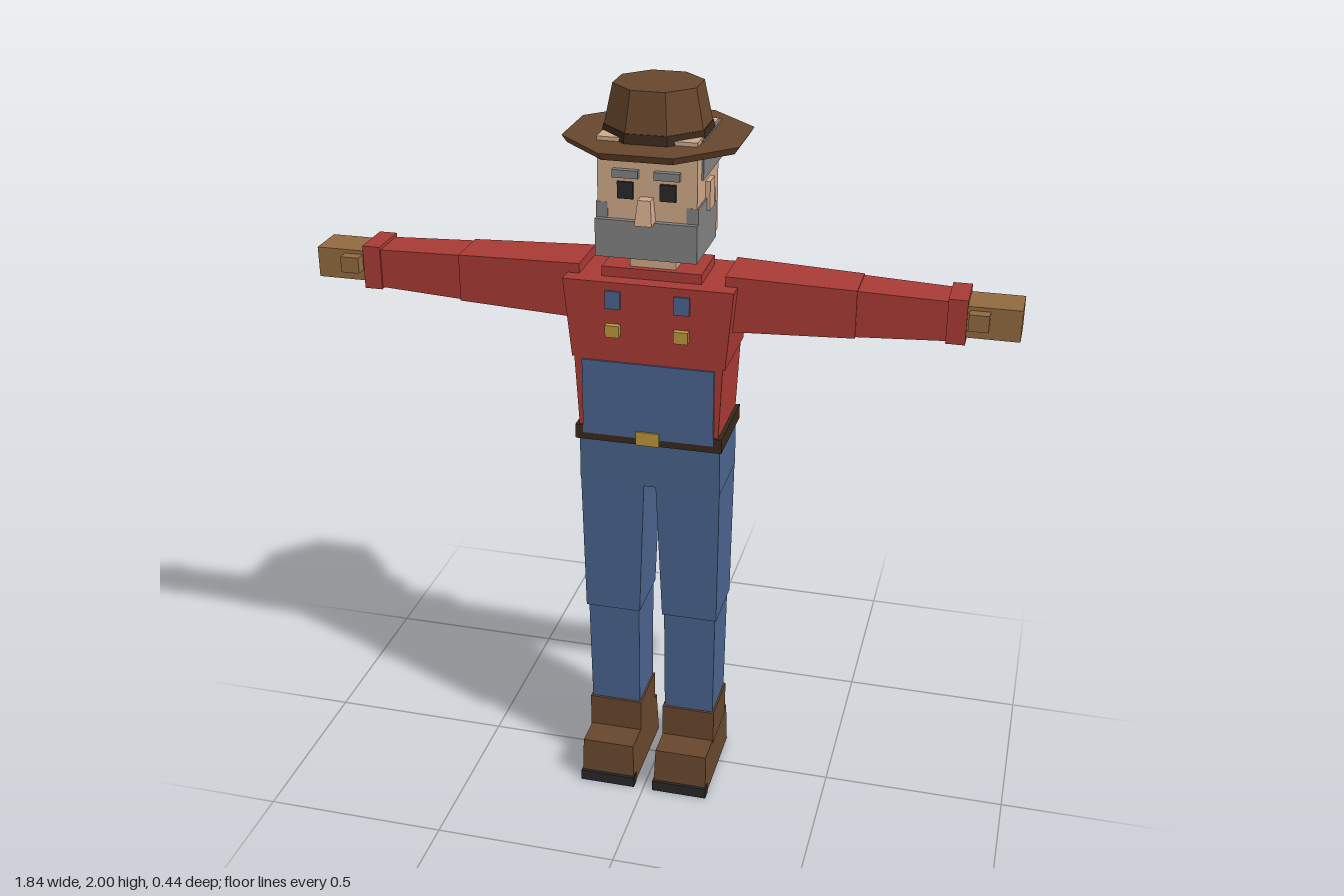
import * as THREE from 'three';

const mat = (name, color) => {
  const m = new THREE.MeshStandardMaterial({ color });
  m.name = name;
  return m;
};

export function createModel() {
  const red = mat('red shirt', 0xa83a34);
  const blue = mat('blue denim', 0x4a638c);
  const brown = mat('brown leather', 0x67462c);
  const darkBrown = mat('dark brown belt', 0x38281b);
  const skin = mat('skin', 0xcfa787);
  const grey = mat('grey hair', 0x808080);
  const black = mat('black', 0x27272a);
  const gold = mat('gold', 0xb9963a);
  const glove = mat('tan glove', 0x91693f);

  const model = new THREE.Group();
  const add = (name, geometry, material) => {
    const mesh = new THREE.Mesh(geometry, material);
    mesh.name = name;
    model.add(mesh);
    return mesh;
  };

  // Box from y0 to y1 whose ends are rectangles [x0, x1, z0, z1]
  const column = (name, material, y0, y1, low, high = low) => {
    const g = new THREE.BoxGeometry(1, 1, 1);
    const p = g.attributes.position;
    for (let i = 0; i < p.count; i++) {
      const top = p.getY(i) > 0;
      const r = top ? high : low;
      p.setXYZ(i, p.getX(i) > 0 ? r[1] : r[0], top ? y1 : y0, p.getZ(i) > 0 ? r[3] : r[2]);
    }
    g.computeVertexNormals();
    return add(name, g, material);
  };
  // The same rectangle, mirrored to the other side when s is -1
  const side = (s, r) => (s > 0 ? r : [-r[1], -r[0], r[2], r[3]]);

  // Box from x0 to x1 whose ends are rectangles [y0, y1, z0, z1]
  const limb = (name, material, s, x0, x1, inner, outer = inner) => {
    const g = new THREE.BoxGeometry(1, 1, 1);
    const p = g.attributes.position;
    for (let i = 0; i < p.count; i++) {
      const far = p.getX(i) * s > 0;
      const r = far ? outer : inner;
      p.setXYZ(i, s * (far ? x1 : x0), p.getY(i) > 0 ? r[1] : r[0], p.getZ(i) > 0 ? r[3] : r[2]);
    }
    g.computeVertexNormals();
    return add(name, g, material);
  };

  // Faceted octagonal ring with flats facing the axes; radii measured to the flats
  const octagon = (name, material, y0, y1, rLow, rHigh) => {
    const k = 1 / Math.cos(Math.PI / 8);
    let g = new THREE.CylinderGeometry(rHigh * k, rLow * k, y1 - y0, 8);
    g.rotateY(Math.PI / 8);
    g.translate(0, (y0 + y1) / 2, 0);
    g = g.toNonIndexed();
    g.computeVertexNormals();
    return add(name, g, material);
  };

  // Hat
  octagon('hatBrim', brown, 1.857, 1.876, 0.21, 0.222);
  octagon('hatBand', darkBrown, 1.876, 1.9, 0.131, 0.127);
  octagon('hatCrown', brown, 1.9, 2.0, 0.125, 0.105);

  // Head and face
  column('head', skin, 1.595, 1.886, [-0.126, 0.126, -0.117, 0.115]);
  column('hair', grey, 1.78, 1.881, [-0.131, 0.131, -0.131, 0.07]);
  column('beard', grey, 1.585, 1.682, [-0.13, 0.13, -0.085, 0.13]);
  column('nose', skin, 1.68, 1.742, [-0.022, 0.022, 0.1, 0.157], [-0.016, 0.016, 0.1, 0.145]);
  for (const s of [1, -1]) {
    column('sideburn', grey, 1.68, 1.722, side(s, [0.1, 0.13, -0.07, 0.116]));
    column('ear', skin, 1.69, 1.765, side(s, [0.12, 0.138, -0.026, 0.026]));
    column('eye', black, 1.736, 1.778, side(s, [0.034, 0.074, 0.115, 0.123]));
    column('eyebrow', grey, 1.79, 1.81, side(s, [0.02, 0.085, 0.11, 0.13]));
  }
  column('neck', skin, 1.52, 1.6, [-0.06, 0.06, -0.055, 0.058]);

  // Torso
  column('collar', red, 1.5, 1.538, [-0.13, 0.13, -0.075, 0.075]);
  column('chest', red, 1.3, 1.512, [-0.202, 0.202, -0.113, 0.113], [-0.222, 0.222, -0.115, 0.117]);
  column('waist', red, 1.09, 1.3, [-0.186, 0.186, -0.105, 0.109], [-0.196, 0.196, -0.112, 0.113]);
  column('bib', blue, 1.085, 1.295, [-0.175, 0.175, 0.1, 0.118]);
  column('belt', darkBrown, 1.065, 1.105, [-0.197, 0.197, -0.113, 0.115]);
  column('buckle', gold, 1.067, 1.105, [-0.031, 0.031, 0.115, 0.123]);
  column('hips', blue, 0.935, 1.067, [-0.191, 0.191, -0.095, 0.098], [-0.189, 0.189, -0.103, 0.103]);

  for (const s of [1, -1]) {
    // Strap ends, front and back, and buttons
    column('frontStrap', blue, 1.442, 1.49, side(s, [0.07, 0.11, 0.114, 0.122]));
    column('backStrap', blue, 1.442, 1.49, side(s, [0.07, 0.11, -0.122, -0.113]));
    column('button', gold, 1.368, 1.4, side(s, [0.071, 0.108, 0.112, 0.131]));

    // Arm
    limb('upperSleeve', red, s, 0.19, 0.52, [1.39, 1.538, -0.075, 0.073], [1.402, 1.528, -0.064, 0.064]);
    limb('lowerSleeve', red, s, 0.51, 0.75, [1.404, 1.526, -0.06, 0.06], [1.415, 1.518, -0.053, 0.053]);
    limb('cuff', red, s, 0.742, 0.79, [1.41, 1.527, -0.061, 0.059]);
    limb('hand', glove, s, 0.78, 0.922, [1.428, 1.51, -0.054, 0.051]);
    limb('thumb', glove, s, 0.795, 0.845, [1.457, 1.5, 0.045, 0.081]);

    // Leg
    column('thigh', blue, 0.535, 0.94, side(s, [0.032, 0.185, -0.086, 0.088]), side(s, [0.016, 0.19, -0.094, 0.097]));
    column('shin', blue, 0.21, 0.54, side(s, [0.037, 0.176, -0.073, 0.073]), side(s, [0.036, 0.18, -0.08, 0.08]));

    // Boot
    column('bootShaft', brown, 0.12, 0.222, side(s, [0.032, 0.181, -0.078, 0.08]));
    column('bootFoot', brown, 0, 0.128, side(s, [0.029, 0.181, -0.115, 0.176]), side(s, [0.033, 0.179, -0.104, 0.165]));
    column('toeSole', black, 0, 0.031, side(s, [0.027, 0.183, 0.152, 0.182]));
  }

  return model;
}
